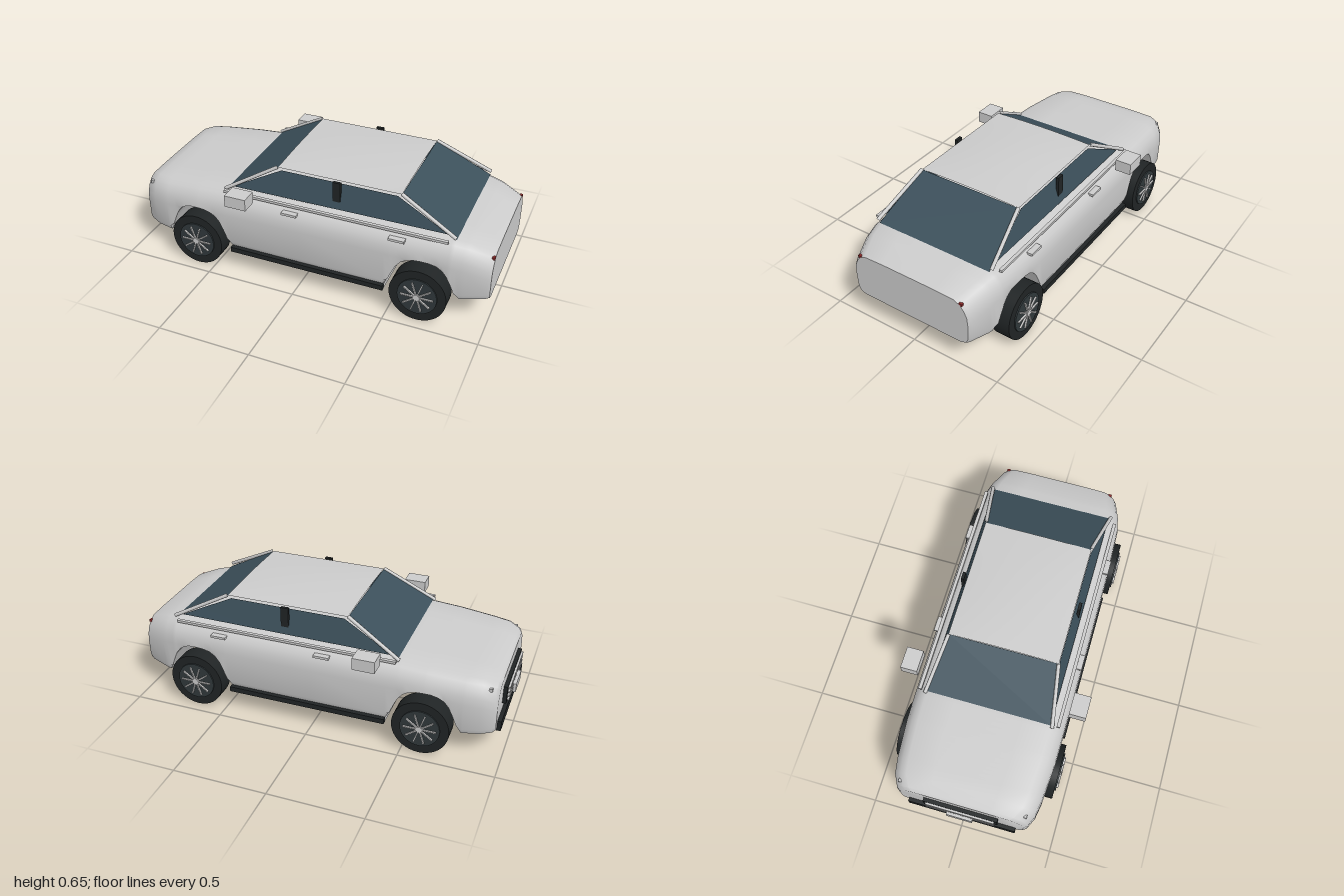
import * as THREE from 'three';
import { toCreasedNormals } from 'three/addons/utils/BufferGeometryUtils.js';

const mat = (color, side = THREE.FrontSide) => new THREE.MeshStandardMaterial({ color, side });
const grey = mat(0xcccccc);
const greySheet = mat(0xcccccc, THREE.DoubleSide);
const glass = mat(0x3c505b, THREE.DoubleSide);
const black = mat(0x202425);
const rimDark = mat(0x30383b);
const red = mat(0x8a2a2a);

export function createModel() {
  const car = new THREE.Group();
  car.name = 'saloonCar';

  const add = (name, geometry, material, parent = car) => {
    const mesh = new THREE.Mesh(geometry, material);
    mesh.name = name;
    parent.add(mesh);
    return mesh;
  };
  // Box given by its limits on each axis
  const box = (name, [x0, x1], [y0, y1], [z0, z1], material = grey) => {
    const mesh = add(name, new THREE.BoxGeometry(x1 - x0, y1 - y0, Math.abs(z1 - z0)), material);
    mesh.position.set((x0 + x1) / 2, (y0 + y1) / 2, (z0 + z1) / 2);
    return mesh;
  };
  const rod = (name, a, b, r, material) => {
    const path = new THREE.LineCurve3(new THREE.Vector3(...a), new THREE.Vector3(...b));
    return add(name, new THREE.TubeGeometry(path, 1, r, 8), material);
  };
  const quad = (name, corners, material) => {
    const g = new THREE.BufferGeometry();
    g.setAttribute('position', new THREE.Float32BufferAttribute(corners.flat(), 3));
    g.setIndex([0, 1, 2, 0, 2, 3]);
    g.computeVertexNormals();
    return add(name, g, material);
  };

  const wheelX = [-0.595, 0.66];
  add('body', bodyGeometry(wheelX), grey);

  // Roof panel with a gentle crown
  const roof = new THREE.PlaneGeometry(0.67, 0.59, 16, 16).rotateX(-Math.PI / 2);
  const p = roof.attributes.position;
  for (let i = 0; i < p.count; i++) {
    const u = p.getX(i) / 0.335, v = p.getZ(i) / 0.295;
    p.setY(i, 0.628 + 0.018 * (1 - v * v) * (1 - 0.6 * u * u));
  }
  roof.computeVertexNormals();
  add('roof', roof, greySheet).position.x = 0.175;

  // Windscreen and rear window
  for (const [name, xb, xt] of [['windscreen', -0.44, -0.16], ['rearWindow', 0.81, 0.51]]) {
    quad(name, [[xb, 0.464, 0.335], [xb, 0.464, -0.335], [xt, 0.628, -0.292], [xt, 0.628, 0.292]], glass);
  }

  for (const s of [1, -1]) {
    const side = s > 0 ? 'left' : 'right';
    // Side glass, pillars and rails
    quad(side + 'SideGlass', [[-0.41, 0.478, s * 0.335], [0.77, 0.486, s * 0.335],
      [0.49, 0.615, s * 0.296], [-0.14, 0.615, s * 0.296]], glass);
    rod(side + 'FrontPillar', [-0.45, 0.462, s * 0.345], [-0.16, 0.63, s * 0.294], 0.01, grey);
    rod(side + 'RearPillar', [0.81, 0.478, s * 0.345], [0.51, 0.63, s * 0.294], 0.01, grey);
    box(side + 'CentrePillar', [0.155, 0.197], [0.52, 0.63], [s * 0.31, s * 0.326], black);
    box(side + 'BeltTrim', [-0.44, 0.78], [0.46, 0.473], [s * 0.366, s * 0.384]);

    // Mirror, door handles and sill
    box(side + 'Mirror', [-0.37, -0.252], [0.458, 0.523], [s * 0.41, s * 0.5]);
    for (const x of [-0.095, 0.485]) {
      box(side + 'DoorHandle', [x, x + 0.083], [0.423, 0.436], [s * 0.38, s * 0.412]);
    }
    box(side + 'Sill', [-0.4, 0.47], [0.112, 0.14], [s * 0.395, s * 0.42], black);

    // Lamps, mostly sunk into the corners
    box(side + 'TailLamp', [0.985, 1.0], [0.383, 0.397], [s * 0.295, s * 0.314], red);
    box(side + 'HeadLamp', [-0.922, -0.905], [0.38, 0.397], [s * 0.325, s * 0.342]);

    for (const x of wheelX) {
      const w = wheel(add);
      w.name = side + (x < 0 ? 'FrontWheel' : 'RearWheel');
      w.position.set(x, 0.15, s * 0.39);
      if (s < 0) w.rotation.y = Math.PI;
      car.add(w);
    }
  }

  // Nose: bumper strip, grille with bars, and plate
  box('floor', [-0.4, 0.47], [0.114, 0.14], [-0.395, 0.395]);
  box('frontBumper', [-0.976, -0.945], [0.13, 0.186], [-0.295, 0.295], black);
  box('grille', [-0.975, -0.945], [0.235, 0.333], [-0.2, 0.2], black);
  for (let i = 0; i < 4; i++) {
    const y = 0.248 + i * 0.023;
    box('grilleBar', [-0.986, -0.97], [y, y + 0.008], [-0.185, 0.185]);
  }
  box('plate', [-1.0, -0.98], [0.228, 0.278], [-0.07, 0.07]);
  return car;
}

// Wheel with its outer face towards +z
function wheel(add) {
  const g = new THREE.Group();
  const disc = (name, r, depth, z, material) => {
    const m = add(name, new THREE.CylinderGeometry(r, r, depth, 40), material, g);
    m.rotation.x = Math.PI / 2;
    m.position.z = z;
  };
  disc('tyre', 0.15, 0.098, 0, black);
  disc('rim', 0.104, 0.112, 0, rimDark);
  disc('hub', 0.017, 0.02, 0.056, grey);
  for (let i = 0; i < 10; i++) {
    const a = (i / 10) * Math.PI * 2;
    const spoke = add('spoke', new THREE.BoxGeometry(0.078, 0.007, 0.012), grey, g);
    spoke.position.set(Math.cos(a) * 0.047, Math.sin(a) * 0.047, 0.059);
    spoke.rotation.z = a;
  }
  return g;
}

// Lower body: cross-sections lofted along x, arches raising the underside
function bodyGeometry(wheelX) {
  // x, top, half width, bottom
  const stations = [
    [-0.955, 0.395, 0.335, 0.138], [-0.94, 0.412, 0.355, 0.132], [-0.88, 0.431, 0.383, 0.127],
    [-0.8, 0.437, 0.396, 0.122], [-0.6, 0.453, 0.41, 0.125], [-0.45, 0.463, 0.412, 0.13],
    [0, 0.468, 0.414, 0.13], [0.5, 0.468, 0.413, 0.13], [0.8, 0.466, 0.402, 0.132],
    [0.88, 0.452, 0.386, 0.138], [0.985, 0.415, 0.352, 0.148], [1.0, 0.408, 0.343, 0.152],
  ];
  const arch = [[0, 0.34], [0.04, 0.338], [0.075, 0.328], [0.105, 0.309], [0.13, 0.278],
    [0.15, 0.235], [0.17, 0.185], [0.195, 0.125]];
  const sample = (table, x, k) => {
    let i = 1;
    while (i < table.length - 1 && table[i][0] < x) i++;
    const [a, b] = [table[i - 1], table[i]];
    return a[k] + (b[k] - a[k]) * (x - a[0]) / (b[0] - a[0]);
  };
  const xs = stations.map((s) => s[0]);
  for (const c of wheelX) for (const [d] of arch) xs.push(c + d, c - d);
  const sorted = [...new Set(xs.map((x) => +x.toFixed(4)))].sort((a, b) => a - b);

  const pos = [], index = [];
  let n = 0;
  for (const x of sorted) {
    const t = sample(stations, x, 1), w = sample(stations, x, 2), b = sample(stations, x, 3);
    let low = b;
    for (const c of wheelX) {
      const d = Math.abs(x - c);
      if (d < 0.195) low = Math.max(low, sample(arch, d, 1));
    }
    const half = [[w - 0.045, b], [w - 0.015, b + 0.012], [w - 0.003, b + 0.04], [w, t - 0.13],
      [w - 0.004, t - 0.085], [w - 0.018, t - 0.05], [w - 0.042, t - 0.02], [w - 0.075, t - 0.004],
      [w * 0.45, t]];
    const ring = [...half, ...half.slice().reverse().map(([z, y]) => [-z, y])];
    n = ring.length;
    for (const [z, y] of ring) pos.push(x, Math.max(y, low), z);
  }
  const rows = sorted.length;
  for (let i = 0; i < rows - 1; i++) {
    for (let j = 0; j < n; j++) {
      const a = i * n + j, b = i * n + (j + 1) % n;
      index.push(a, a + n, b, b, a + n, b + n);
    }
  }
  // Flat nose and tail panels
  const last = (rows - 1) * n;
  for (let j = 1; j < n - 1; j++) index.push(0, j, j + 1, last, last + j + 1, last + j);

  const g = new THREE.BufferGeometry();
  g.setAttribute('position', new THREE.Float32BufferAttribute(pos, 3));
  g.setIndex(index);
  return toCreasedNormals(g, 0.6);
}
